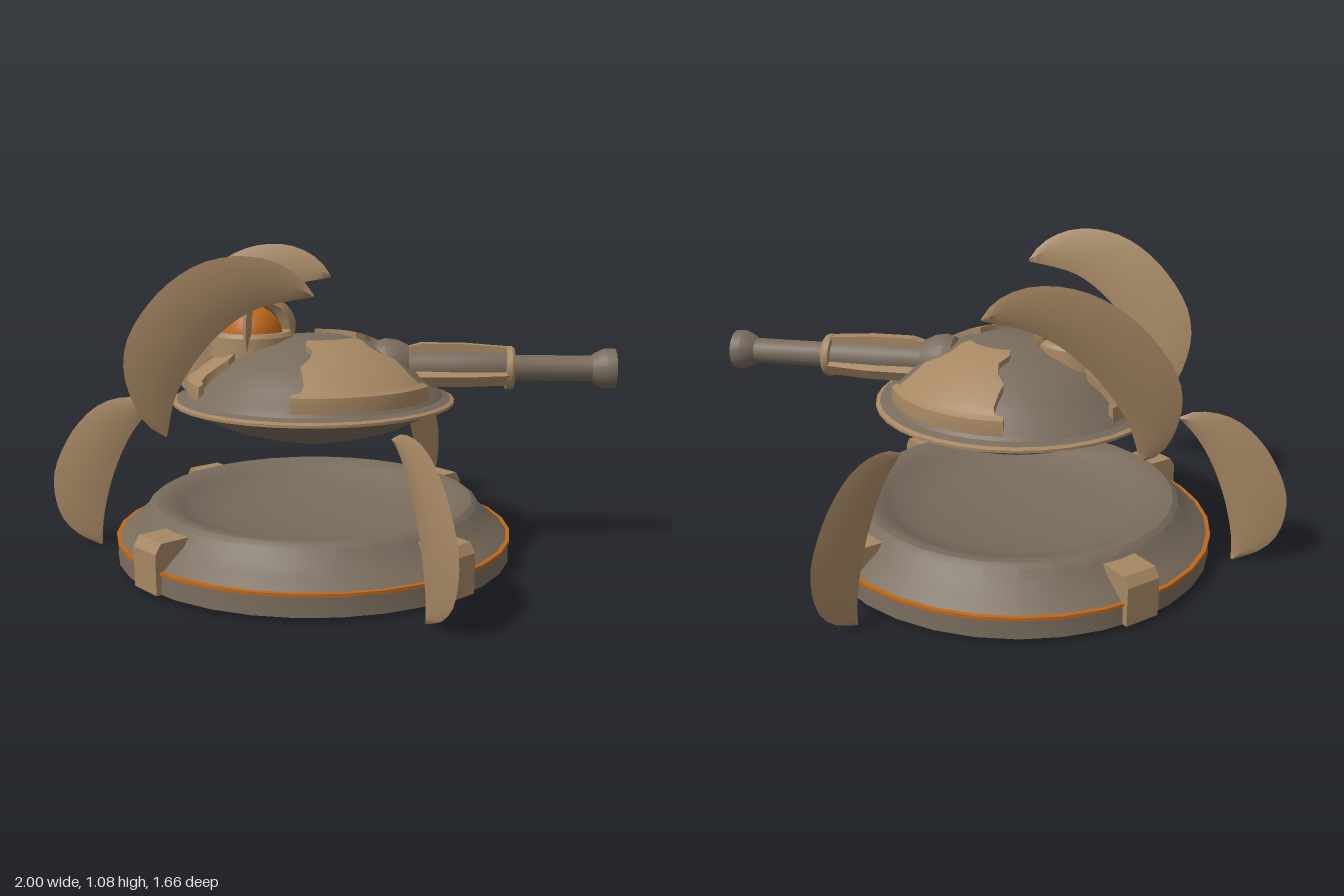
import * as THREE from 'three';
import { toCreasedNormals } from 'three/addons/utils/BufferGeometryUtils.js';

const AXIS_X = -0.045;
const V2 = (p) => new THREE.Vector2(p[0], p[1]);
const rad = THREE.MathUtils.degToRad;

// Closed skin over equal-sized rings of [x, y, z] points, capped at both ends
function loft(rings, crease = 0.6) {
  const n = rings[0].length, pos = rings.flat(2), idx = [];
  const quad = (a, b, c, d) => idx.push(a, b, c, a, c, d);
  for (let s = 0; s < rings.length - 1; s++) {
    for (let j = 0; j < n; j++) {
      const k = (j + 1) % n;
      quad(s * n + j, s * n + k, (s + 1) * n + k, (s + 1) * n + j);
    }
  }
  const e = (rings.length - 1) * n;
  for (let j = 0; j < n / 2 - 1; j++) {
    quad(j + 1, j, n - 1 - j, n - 2 - j);
    quad(e + j, e + j + 1, e + n - 2 - j, e + n - 1 - j);
  }
  // Turn the faces outward if the enclosed volume is negative
  let volume = 0;
  const at = (i) => new THREE.Vector3().fromArray(pos, i * 3);
  for (let i = 0; i < idx.length; i += 3) volume += at(idx[i]).dot(at(idx[i + 1]).cross(at(idx[i + 2])));
  if (volume < 0) idx.reverse();
  const g = new THREE.BufferGeometry();
  g.setAttribute('position', new THREE.Float32BufferAttribute(pos, 3));
  g.setIndex(idx);
  return toCreasedNormals(g, crease);
}

// Crescent blade, thickest along the middle, between an outer and an inner curve
function blade(outer, inner, thick, steps = 20) {
  const curve = (pts) => new THREE.SplineCurve(pts.map(V2));
  const a = curve(outer), b = curve(inner), rings = [];
  for (let i = 0; i <= steps; i++) {
    const t = i / steps, p = a.getPointAt(t), q = b.getPointAt(t);
    const m = p.clone().lerp(q, 0.5), w = thick * (0.4 + 0.6 * Math.sin(Math.PI * t));
    rings.push([[p.x, p.y, 0], [m.x, m.y, w], [q.x, q.y, 0], [m.x, m.y, -w]]);
  }
  return loft(rings, 0.8);
}

const lathe = (pts, sides = 36, crease = 0.45) =>
  toCreasedNormals(new THREE.LatheGeometry(pts.map(V2), sides), crease);

// Armour plate: rows of [radius, height, half angle in degrees]
function armourPlate(rows, depth, cols = 10) {
  return loft(rows.map(([r, y, half]) => {
    const top = [], bottom = [];
    for (let i = 0; i <= cols; i++) {
      const a = rad(half) * (2 * i / cols - 1);
      top.push([r * Math.cos(a), y, r * Math.sin(a)]);
      bottom.unshift([r * Math.cos(a), y - depth, r * Math.sin(a)]);
    }
    return [...top, ...bottom];
  }));
}

// Flat outline given a width centred on z = 0
function slab(outline, width) {
  const g = new THREE.ExtrudeGeometry(new THREE.Shape(outline.map(V2)), { depth: width, bevelEnabled: false });
  return g.translate(0, 0, -width / 2);
}

export function createModel() {
  const group = new THREE.Group();
  const material = (name, color) => {
    const m = new THREE.MeshStandardMaterial({ color });
    m.name = name;
    return m;
  };
  const metal = material('greyBrownMetal', 0x786b5c);
  const tan = material('tanArmour', 0xa68763);
  const orange = material('orangeGlow', 0xbd681b);
  metal.side = THREE.DoubleSide;

  const add = (name, geo, mat, x = AXIS_X, y = 0, z = 0) => {
    const m = new THREE.Mesh(geo, mat);
    m.name = name;
    m.position.set(x, y, z);
    group.add(m);
    return m;
  };

  // Round base: open underneath, with a shallow dish on top
  add('base', lathe([[0.7, 0.02], [0.695, 0.09], [0.655, 0.125], [0.61, 0.16], [0.585, 0.2],
    [0.565, 0.213], [0.54, 0.214], [0.51, 0.205], [0.475, 0.187], [0.44, 0.165], [0.34, 0.14],
    [0.2, 0.12], [0, 0.11]], 32), metal);
  add('baseStripe', lathe([[0.682, 0.086], [0.703, 0.086], [0.703, 0.096], [0.678, 0.096], [0.682, 0.086]], 32), orange);

  // Glowing discs under the dish
  const lightGeo = new THREE.CylinderGeometry(0.05, 0.05, 0.009, 16);
  for (const z of [0.22, -0.05]) add('underLight', lightGeo, orange, AXIS_X - 0.305, 0.122, z);

  // Clamps on the base
  const clampGeo = slab([[0.57, 0.06], [0.7, 0.02], [0.712, 0.02], [0.712, 0.155], [0.69, 0.188], [0.57, 0.188]], 0.13);
  for (let i = 0; i < 4; i++) add('baseClamp', clampGeo, tan).rotation.y = rad(45 + 90 * i);

  // Crescent fins around the base
  const baseFin = blade(
    [[0.575, 0.535], [0.61, 0.553], [0.695, 0.557], [0.79, 0.52], [0.885, 0.42], [0.952, 0.27],
      [0.94, 0.13], [0.88, 0.05], [0.79, 0.005]],
    [[0.572, 0.525], [0.635, 0.46], [0.695, 0.36], [0.745, 0.23], [0.775, 0.1], [0.78, 0.01]], 0.021);
  for (const a of [60, 180, 300]) add('baseFin', baseFin, tan).rotation.y = rad(a);

  // Floating saucer turret
  add('saucer', lathe([[0, 0.43], [0.14, 0.43], [0.145, 0.44], [0.21, 0.447], [0.32, 0.48], [0.42, 0.53],
    [0.46, 0.553], [0.49, 0.56], [0.49, 0.568], [0.455, 0.582], [0.435, 0.605], [0.42, 0.615],
    [0.385, 0.655], [0.32, 0.705], [0.22, 0.755], [0.12, 0.782], [0, 0.792]]), metal);
  add('saucerRim', lathe([[0.484, 0.557], [0.496, 0.559], [0.496, 0.568], [0.482, 0.574]]), tan);
  const plate = armourPlate([[0.445, 0.622, 35], [0.442, 0.643, 35], [0.425, 0.652, 35], [0.42, 0.656, 31],
    [0.4, 0.674, 30], [0.36, 0.702, 31], [0.325, 0.725, 33], [0.285, 0.746, 28], [0.24, 0.767, 26],
    [0.2, 0.781, 33], [0.165, 0.791, 33]], 0.035);
  for (const a of [60, 180, 300]) add('saucerPlate', plate, tan).rotation.y = rad(a);

  // Tall crescent fins leaning outward from the saucer
  const tallFin = blade(
    [[-0.012, 0.97], [-0.06, 1.03], [-0.15, 1.077], [-0.26, 1.087], [-0.38, 1.055], [-0.5, 0.97],
      [-0.6, 0.84], [-0.632, 0.72], [-0.61, 0.6], [-0.57, 0.525], [-0.515, 0.49]],
    [[-0.01, 0.96], [-0.18, 0.925], [-0.3, 0.85], [-0.4, 0.74], [-0.47, 0.62], [-0.505, 0.487]], 0.022, 24);
  tallFin.translate(0, -0.7, 0);
  for (const s of [1, -1]) {
    const fin = add('tallFin', tallFin, tan, 0, 0.7, 0.36 * s);
    fin.rotation.x = 0.215 * s;
    fin.scale.y = 1.02;
  }

  // Glowing dome in a collar held by three claws
  const domeX = -0.26;
  add('dome', new THREE.SphereGeometry(0.107, 24, 16), orange, domeX, 0.785);
  add('domeCollar', lathe([[0.15, 0.72], [0.145, 0.79], [0.135, 0.803], [0.115, 0.803], [0.1, 0.79]]), tan, domeX);
  const claw = blade([[0.04, 0.908], [0.1, 0.908], [0.145, 0.875], [0.168, 0.82], [0.155, 0.75]],
    [[0.045, 0.888], [0.082, 0.862], [0.104, 0.82], [0.107, 0.75]], 0.016, 10);
  for (const a of [30, 150, 270]) add('domeClaw', claw, tan, domeX).rotation.y = rad(a);

  // Cannon pointing along +x; profiles are [radius, x]
  const gunY = 0.68;
  const alongX = (pts, sides) => lathe(pts, sides).rotateZ(-Math.PI / 2);
  add('cannonBreech', alongX([[0, 0.15], [0.06, 0.155], [0.092, 0.18], [0.1, 0.21], [0.095, 0.25],
    [0.075, 0.29], [0, 0.29]], 20), metal, 0, gunY);
  add('cannonBarrel', alongX([[0.055, 0.25], [0.06, 0.45], [0.057, 0.62], [0.045, 0.66], [0.045, 0.92],
    [0.056, 0.935], [0.07, 0.965], [0.07, 1], [0.045, 1], [0.042, 0.92], [0, 0.92]], 20), metal, 0, gunY);
  add('cannonRing', alongX([[0.05, 0.625], [0.075, 0.627], [0.077, 0.645], [0.07, 0.655], [0.04, 0.655]], 16),
    tan, 0, gunY);
  const strakeGeo = slab([[0.25, 0.045], [0.64, 0.045], [0.64, 0.072], [0.48, 0.084], [0.33, 0.084], [0.25, 0.06]], 0.042);
  for (let i = 0; i < 3; i++) add('cannonStrake', strakeGeo, tan, 0, gunY).rotation.x = rad(120 * i);

  return group;
}
